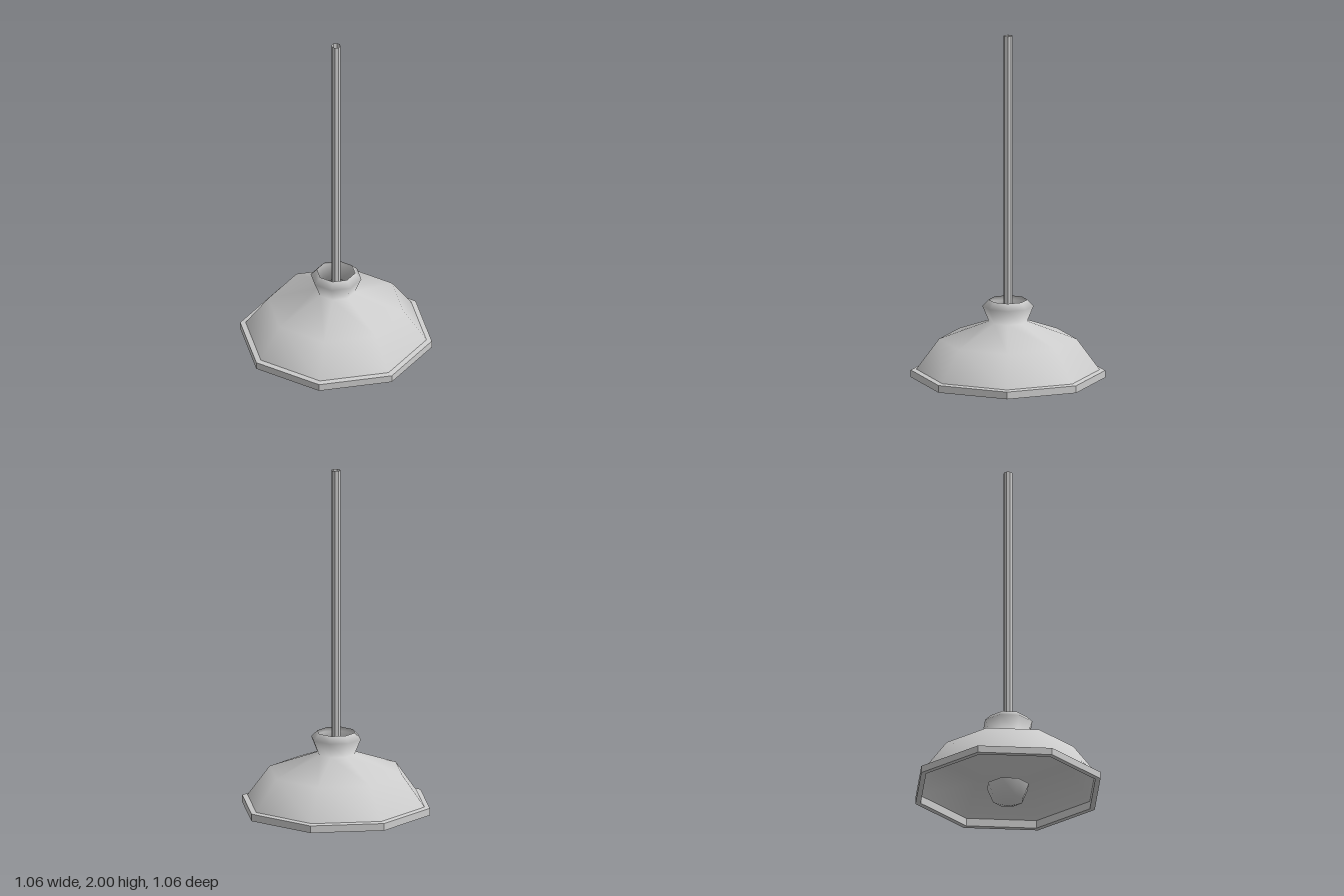
import * as THREE from 'three';

const SIDES = 8;

// Eight-sided part turned around the y axis from [radius, height] pairs
function turned(name, profile, flatShading) {
  const points = profile.map(([r, y]) => new THREE.Vector2(r, y));
  const material = new THREE.MeshStandardMaterial({
    color: 0xcccccc,
    side: THREE.DoubleSide,
    flatShading,
  });
  const mesh = new THREE.Mesh(new THREE.LatheGeometry(points, SIDES), material);
  mesh.name = name;
  return mesh;
}

export function createModel() {
  const lamp = new THREE.Group();
  lamp.name = 'pendantLamp';

  // Open hanging tube, ending just below the neck
  lamp.add(turned('hangingRod', [[0.025, 0.33], [0.025, 2]], true));

  // Thin shade with a flared, open neck
  lamp.add(turned('shade', [
    [0.5, 0.135], [0.375, 0.305], [0.105, 0.405], [0.14, 0.49], [0.105, 0.525],
  ], false));

  // Faceted lip around the bottom of the shade
  lamp.add(turned('rimLip', [
    [0.5, 0.135], [0.5, 0.09], [0.53, 0.09], [0.53, 0.13], [0.5, 0.135],
  ], true));

  // Half-round bulb, open on top
  lamp.add(turned('bulb', [[0, 0], [0.085, 0.035], [0.12, 0.12]], false));

  return lamp;
}
